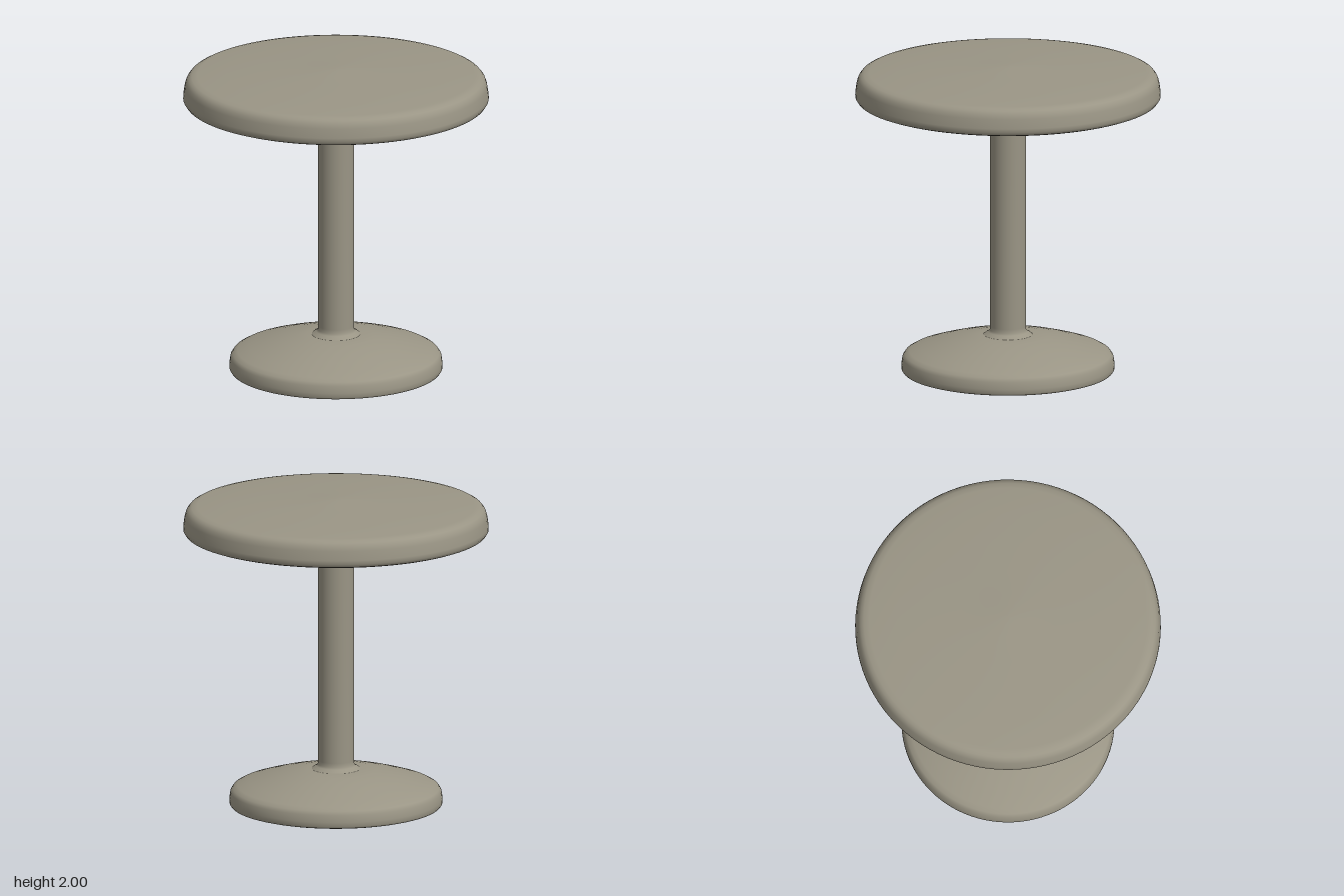
import * as THREE from 'three';

const SEGMENTS = 96;

export function createModel() {
  const model = new THREE.Group();
  const stone = new THREE.MeshStandardMaterial({ color: 0x9a9585 });
  stone.name = 'warm grey';

  // Revolves a list of [radius, height] pairs, ordered from bottom to top
  function turned(name, profile) {
    const points = profile.map(([r, y]) => new THREE.Vector2(r, y));
    const mesh = new THREE.Mesh(new THREE.LatheGeometry(points, SEGMENTS), stone);
    mesh.name = name;
    model.add(mesh);
  }

  // Domed foot with a flat underside and rounded rim
  turned('base', [
    [0, 0], [0.62, 0], [0.645, 0.003], [0.668, 0.01], [0.676, 0.022], [0.677, 0.05],
    [0.67, 0.095], [0.655, 0.118], [0.625, 0.135], [0.55, 0.16], [0.45, 0.19],
    [0.35, 0.215], [0.25, 0.235], [0.18, 0.243], [0.1, 0.246],
  ]);

  // Column with a small flared collar at each end
  turned('column', [
    [0.16, 0.238], [0.148, 0.25], [0.125, 0.262], [0.116, 0.275], [0.114, 0.3],
    [0.114, 0.9], [0.114, 1.6], [0.116, 1.625], [0.125, 1.637], [0.148, 1.645], [0.16, 1.66],
  ]);

  // Round top: shallow bowl underneath, leaning side wall, very gently domed surface
  turned('tabletop', [
    [0, 1.642], [0.14, 1.648], [0.3, 1.662], [0.5, 1.69], [0.7, 1.726], [0.85, 1.757],
    [0.93, 1.775], [0.957, 1.785], [0.97, 1.805], [0.969, 1.83], [0.96, 1.89],
    [0.95, 1.918], [0.935, 1.937], [0.915, 1.948], [0.88, 1.956], [0.7, 1.969],
    [0.5, 1.98], [0.3, 1.988], [0.15, 1.994], [0.07, 1.999], [0, 2],
  ]);

  return model;
}
